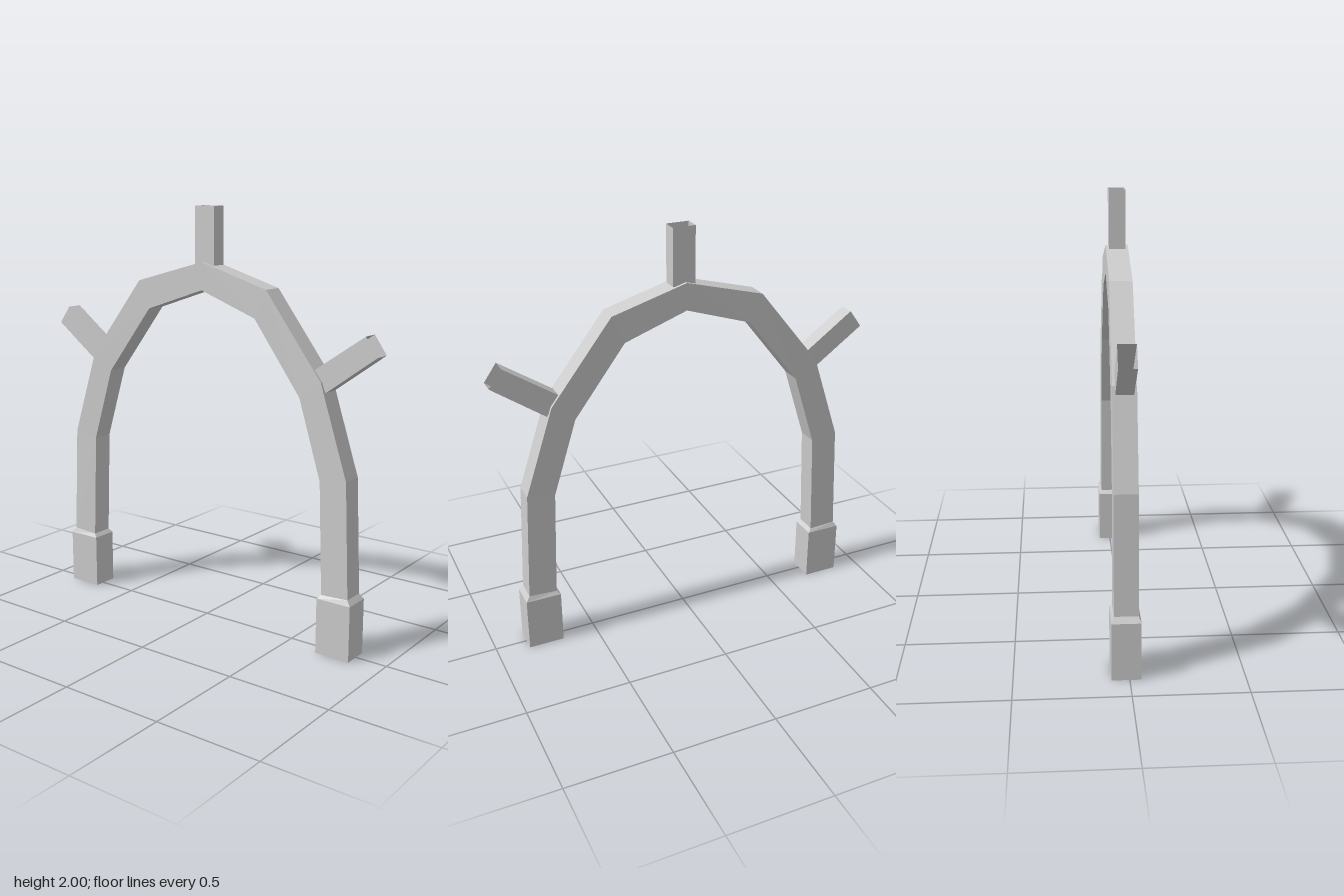
import * as THREE from 'three';

const material = new THREE.MeshStandardMaterial({
  color: 0xcccccc, flatShading: true, side: THREE.DoubleSide,
});

// Open square tube lofted through stations [ax, ay, bx, by, halfDepth];
// a is the edge on the left of the travel direction, b the edge on the right.
function squareTube(name, stations) {
  const pos = [];
  const index = [];
  const depth = (x) => 0.014 * x - 0.004; // slight twist of the whole frame
  for (const [ax, ay, bx, by, h] of stations) {
    const z = depth((ax + bx) / 2);
    pos.push(ax, ay, z + h, ax, ay, z - h, bx, by, z - h, bx, by, z + h);
  }
  for (let i = 0; i < stations.length - 1; i++) {
    for (let j = 0; j < 4; j++) {
      const a = i * 4 + j;
      const b = i * 4 + (j + 1) % 4;
      index.push(a, a + 4, b, b, a + 4, b + 4);
    }
  }
  const geometry = new THREE.BufferGeometry();
  geometry.setAttribute('position', new THREE.Float32BufferAttribute(pos, 3));
  geometry.setIndex(index);
  const flat = geometry.toNonIndexed();
  flat.computeVertexNormals();
  const mesh = new THREE.Mesh(flat, material);
  mesh.name = name;
  return mesh;
}

export function createModel() {
  const group = new THREE.Group();
  group.name = 'archFrame';

  // Half of the arch: outer x, outer y, inner x, inner y, half depth
  const half = [
    [0.857, 0, 0.685, 0, 0.064], // socket foot
    [0.857, 0.265, 0.685, 0.265, 0.064],
    [0.838, 0.29, 0.702, 0.283, 0.053], // shoulder into the leg
    [0.813, 0.83, 0.68, 0.81, 0.052],
    [0.673, 1.255, 0.565, 1.175, 0.052],
    [0.372, 1.64, 0.312, 1.507, 0.051],
  ];
  const side = (s) => half.map(([ox, oy, ix, iy, h]) =>
    [s * ox - 0.012 + (oy > 1.5 ? 0.005 : 0), oy, s * ix - 0.012 + (oy > 1.5 ? 0.005 : 0), iy, h]);
  group.add(squareTube('arch', [
    ...side(-1),
    [0.003, 1.745, 0.003, 1.615, 0.051],
    ...side(1).reverse(),
  ]));

  // Three open prongs
  group.add(squareTube('topProng', [
    [-0.045, 1.73, 0.065, 1.73, 0.037],
    [-0.045, 2, 0.065, 2, 0.037],
  ]));
  group.add(squareTube('rightProng', [
    [-0.7, 1.22, -0.64, 1.305, 0.039],
    [-0.935, 1.39, -0.873, 1.475, 0.039],
  ]));
  group.add(squareTube('leftProng', [
    [0.62, 1.305, 0.68, 1.21, 0.039],
    [0.87, 1.475, 0.93, 1.39, 0.039],
  ]));
  return group;
}
